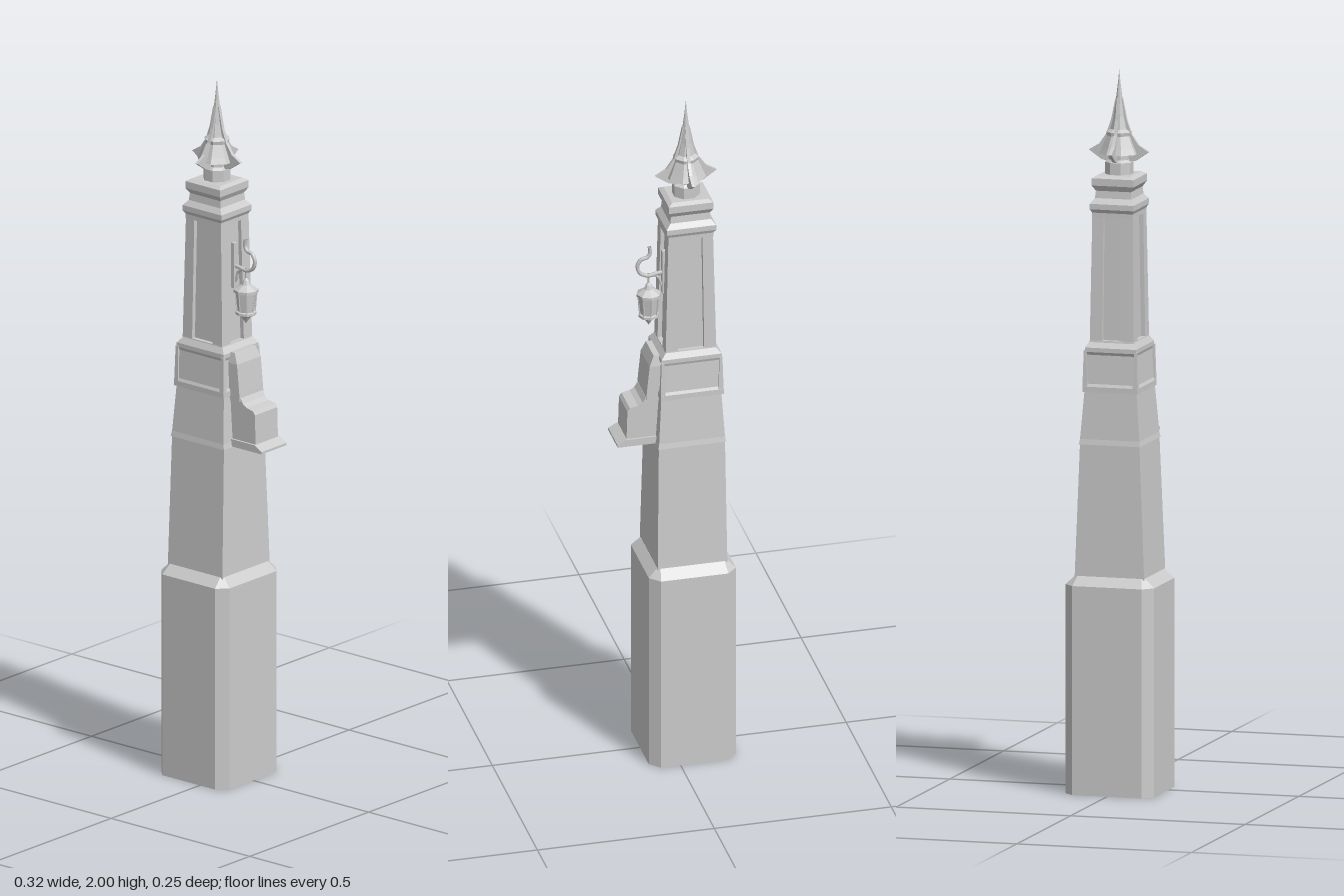
import * as THREE from 'three';

const CX = -0.047; // axis of the tower's upper part

export function createModel() {
  const root = new THREE.Group();
  const flat = new THREE.MeshStandardMaterial({ color: 0xcccccc, flatShading: true, side: THREE.DoubleSide });
  const smooth = new THREE.MeshStandardMaterial({ color: 0xcccccc, side: THREE.DoubleSide });

  const add = (name, geo, mat = flat, parent = root) => {
    const m = new THREE.Mesh(geo, mat);
    m.name = name;
    parent.add(m);
    return m;
  };

  // Stack of rectangular sections [y, x0, x1, z0, z1, chamfer], capped at both ends
  const loft = (sections) => {
    const pos = [], idx = [], n = 8;
    for (const [y, x0, x1, z0, z1, c = 0] of sections) {
      pos.push(x0 + c, y, z1, x1 - c, y, z1, x1, y, z1 - c, x1, y, z0 + c,
        x1 - c, y, z0, x0 + c, y, z0, x0, y, z0 + c, x0, y, z1 - c);
    }
    const last = (sections.length - 1) * n;
    for (let s = 0; s < last; s += n) {
      for (let i = 0; i < n; i++) {
        const j = (i + 1) % n;
        idx.push(s + i, s + j, s + n + j, s + i, s + n + j, s + n + i);
      }
    }
    for (let i = 1; i < n - 1; i++) idx.push(0, i + 1, i, last, last + i, last + i + 1);
    const g = new THREE.BufferGeometry();
    g.setAttribute('position', new THREE.Float32BufferAttribute(pos, 3));
    g.setIndex(idx);
    const out = g.toNonIndexed();
    out.computeVertexNormals();
    return out;
  };
  // Same, symmetric in z: [y, x0, x1, halfDepth, chamfer]
  const tower = (rows) => loft(rows.map(([y, a, b, z, c]) => [y, a, b, -z, z, c]));

  // Outline in the xy plane, extruded along z and centred
  const slab = (points, depth) => {
    const shape = new THREE.Shape(points.map(([x, y]) => new THREE.Vector2(x, y)));
    return new THREE.ExtrudeGeometry(shape, { depth, bevelEnabled: false }).translate(0, 0, -depth / 2);
  };
  const lathe = (points, sides) =>
    new THREE.LatheGeometry(points.map(([r, y]) => new THREE.Vector2(r, y)), sides);

  // Chamfered base
  add('base', tower([
    [0, -0.163, 0.083, 0.127, 0.028], [0.58, -0.163, 0.083, 0.127, 0.028],
    [0.605, -0.139, 0.058, 0.1, 0.008],
  ]));

  // Tapered shaft, with a slight break at the corbel's height
  add('lowerShaft', tower([[0.59, -0.139, 0.058, 0.1], [0.975, -0.136, 0.051, 0.085]]));
  add('upperShaft', tower([
    [0.97, -0.139, 0.053, 0.088], [0.985, -0.136, 0.05, 0.085], [1.125, -0.128, 0.041, 0.074],
  ]));

  // Panelled block with sunken faces and a bay on the left side
  add('panelBlock', tower([
    [1.115, -0.134, 0.044, 0.079], [1.13, -0.134, 0.044, 0.079], [1.138, -0.13, 0.04, 0.075],
    [1.218, -0.126, 0.036, 0.07], [1.226, -0.13, 0.04, 0.073],
    [1.238, -0.13, 0.04, 0.073], [1.255, -0.115, 0.026, 0.063],
  ]));
  for (const sx of [-1, 1]) for (const sz of [-1, 1]) {
    const x = sx < 0 ? -0.127 : 0.037, z = sz * 0.072;
    add('panelBlockCorner', loft([
      [1.125, x - 0.007, x + 0.007, z - 0.007, z + 0.007],
      [1.23, x - 0.004, x + 0.004, z - 0.004, z + 0.004],
    ]));
  }
  add('bay', tower([
    [1.105, 0.03, 0.078, 0.05], [1.13, 0.03, 0.076, 0.05],
    [1.21, 0.03, 0.068, 0.05], [1.24, 0.03, 0.055, 0.044],
  ]));

  // Corbel below the bay
  add('corbel', slab([
    [0.03, 0.98], [0.133, 0.98], [0.13, 1.077], [0.123, 1.087], [0.1, 1.092],
    [0.087, 1.1], [0.078, 1.115], [0.03, 1.115],
  ], 0.094));
  add('corbelLedge', slab([
    [0.04, 0.972], [0.159, 0.972], [0.159, 0.979], [0.134, 0.993], [0.04, 0.993],
  ], 0.106));

  // Column: recessed core framed by four corner posts and rails
  add('columnCore', tower([[1.24, -0.105, 0.014, 0.051], [1.62, -0.098, 0.006, 0.046]]));
  for (const sz of [-1, 1]) {
    const span = (a, b) => (sz > 0 ? [a, b] : [-b, -a]);
    add('columnPost', loft([
      [1.25, -0.117, -0.083, ...span(0.028, 0.063)], [1.61, -0.109, -0.079, ...span(0.026, 0.058)],
    ]));
    add('columnPost', loft([
      [1.25, -0.009, 0.026, ...span(0.028, 0.063)], [1.61, -0.013, 0.017, ...span(0.026, 0.058)],
    ]));
  }
  add('columnFoot', tower([[1.245, -0.119, 0.028, 0.065], [1.257, -0.117, 0.026, 0.063]]));

  // Stepped capital
  add('capital', tower([
    [1.598, -0.11, 0.017, 0.058], [1.61, -0.11, 0.017, 0.058], [1.62, -0.117, 0.023, 0.063],
    [1.635, -0.117, 0.023, 0.063], [1.65, -0.104, 0.01, 0.052], [1.67, -0.102, 0.008, 0.05],
    [1.685, -0.11, 0.016, 0.06], [1.705, -0.11, 0.016, 0.06], [1.712, -0.098, 0.004, 0.048],
  ]));

  // Octagonal bell roof running out into a needle
  const spire = new THREE.Group();
  spire.name = 'spire';
  spire.position.x = CX;
  root.add(spire);
  add('spireDrum', lathe([[0, 1.7], [0.039, 1.7], [0.039, 1.745], [0.03, 1.752], [0.03, 1.772]], 8)
    .rotateY(Math.PI / 8), flat, spire);
  add('spireRoof', lathe([
    [0.028, 1.765], [0.056, 1.768], [0.048, 1.785], [0.034, 1.818], [0.036, 1.828], [0.024, 1.836],
    [0.016, 1.87], [0.009, 1.92], [0.004, 1.96], [0, 2],
  ], 8).rotateY(Math.PI / 8), flat, spire);
  for (let i = 0; i < 4; i++) {
    const fin = add('spireFin', slab([
      [0.03, 1.745], [0.05, 1.75], [0.086, 1.775], [0.056, 1.793], [0.036, 1.822], [0.022, 1.862],
      [0.01, 1.92], [0.004, 1.92], [0.004, 1.85], [0.03, 1.79],
    ], 0.009), flat, spire);
    fin.rotation.y = i * Math.PI / 2;
  }

  // Scrolled bracket
  const rod = (name, pts, r) => add(name, new THREE.TubeGeometry(
    new THREE.CatmullRomCurve3(pts.map(([x, y]) => new THREE.Vector3(x, y, 0))), 24, r, 6), smooth);
  add('bracketPlate', new THREE.BoxGeometry(0.012, 0.13, 0.014).translate(0.015, 1.475, 0));
  rod('bracketArm', [[0.012, 1.475], [0.035, 1.472], [0.06, 1.468], [0.082, 1.478], [0.09, 1.5],
    [0.08, 1.52], [0.062, 1.525], [0.054, 1.538], [0.056, 1.557]], 0.0055);
  rod('bracketBrace', [[0.014, 1.42], [0.024, 1.44], [0.03, 1.458], [0.046, 1.47]], 0.004);
  rod('lanternHanger', [[0.058, 1.475], [0.058, 1.43]], 0.003);

  // Hanging lantern
  const lantern = new THREE.Group();
  lantern.name = 'lantern';
  lantern.position.x = 0.058;
  root.add(lantern);
  add('lanternRoof', lathe([[0, 1.45], [0.008, 1.44], [0.013, 1.428], [0.034, 1.414], [0.034, 1.406], [0, 1.406]], 8),
    flat, lantern);
  add('lanternBody', lathe([
    [0.03, 1.407], [0.023, 1.352], [0.029, 1.35], [0.029, 1.343], [0.014, 1.336], [0.007, 1.326], [0, 1.315],
  ], 8), flat, lantern);
  for (let i = 0; i < 8; i++) {
    const a = i * Math.PI / 4;
    const rib = new THREE.LineCurve3(
      new THREE.Vector3(0.03 * Math.sin(a), 1.408, 0.03 * Math.cos(a)),
      new THREE.Vector3(0.025 * Math.sin(a), 1.348, 0.025 * Math.cos(a)));
    add('lanternRib', new THREE.TubeGeometry(rib, 1, 0.002, 4), flat, lantern);
  }
  return root;
}
